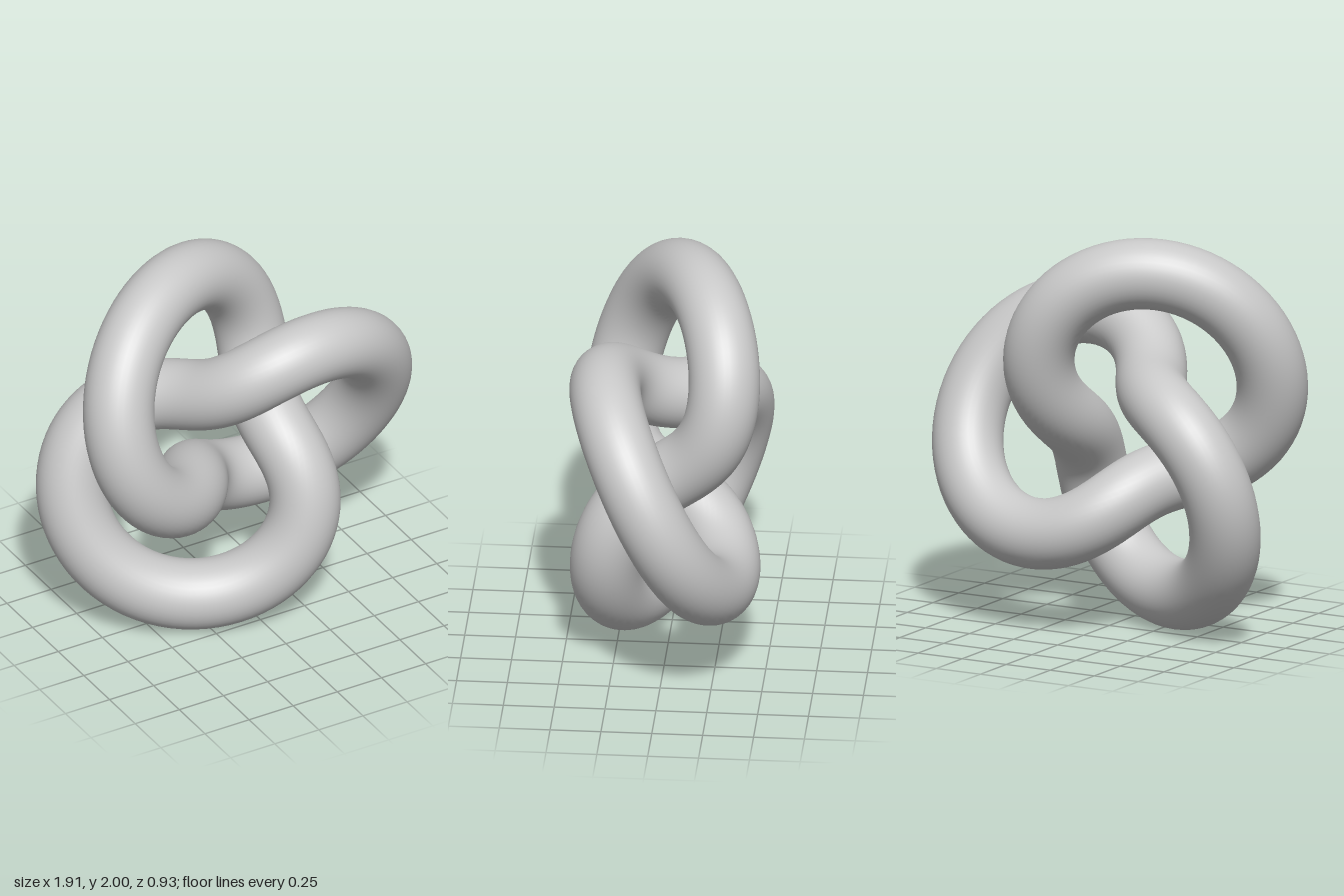
import * as THREE from 'three';

// A smooth trefoil knot standing upright, facing +z.
export function createModel() {
  const model = new THREE.Group();
  model.name = 'trefoilKnot';

  const grey = new THREE.MeshStandardMaterial({ color: 0xc8c8c8 });
  grey.name = 'light grey';

  // The tube winds twice round the axis and three times through the ring
  const radius = 0.5834;
  const tube = radius * 0.3;
  const knot = new THREE.Mesh(new THREE.TorusKnotGeometry(radius, tube, 256, 40, 2, 3), grey);
  knot.name = 'knotTube';

  // Centre the bounds on x and z, and stand the knot on y = 0
  knot.geometry.computeBoundingBox();
  const box = knot.geometry.boundingBox;
  const centre = box.getCenter(new THREE.Vector3());
  knot.position.set(-centre.x, -box.min.y, -centre.z);

  model.add(knot);
  return model;
}
